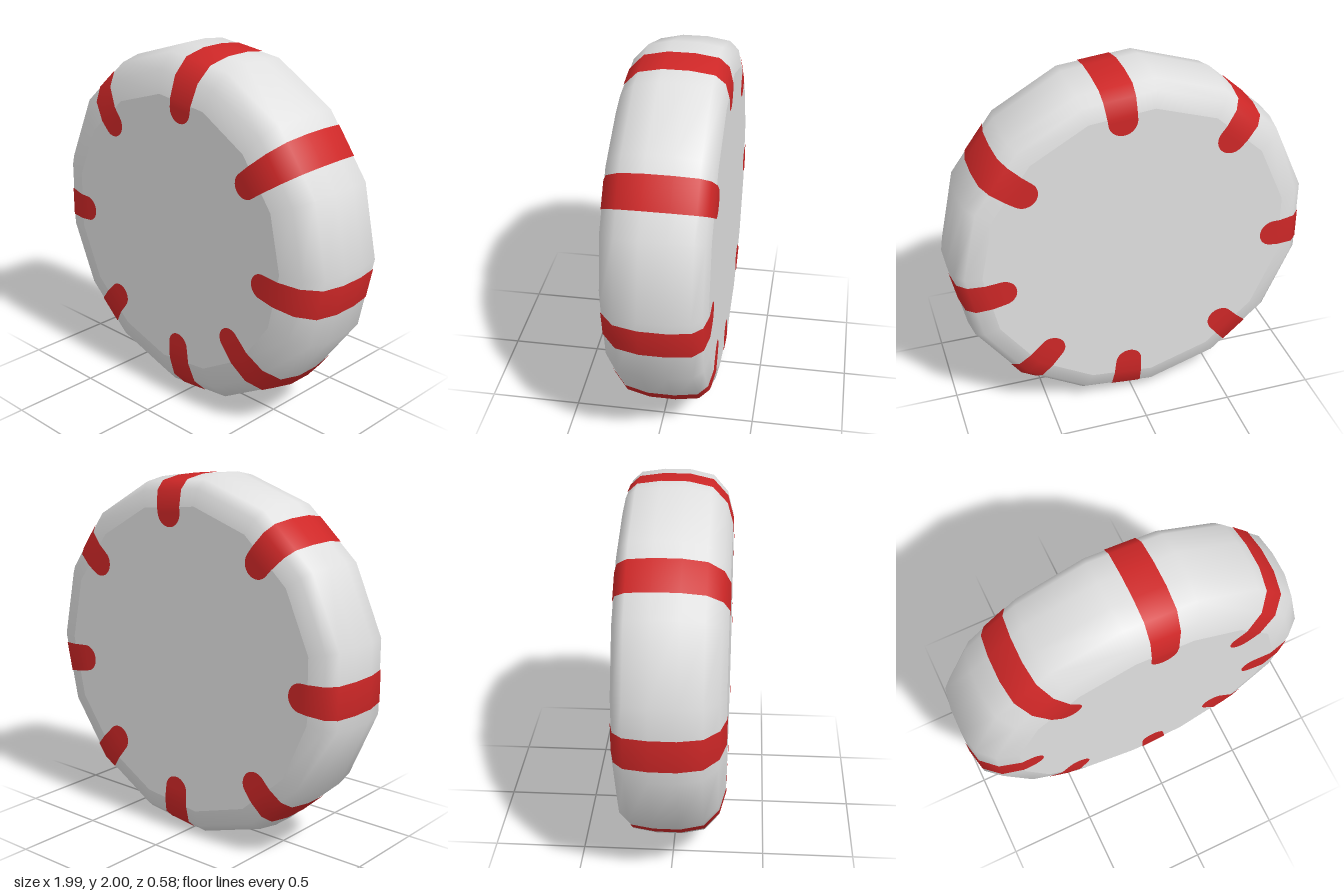
import * as THREE from 'three';

const SIDES = 15;
// Rim cross-section from back to front: [radius, z]
const PROFILE = [
  [0.85, -0.285], [0.94, -0.265], [0.987, -0.215], [1.0055, -0.09],
  [1.0055, 0.05], [0.978, 0.175], [0.893, 0.252], [0.772, 0.285],
];
// Stripes: [angle in degrees, radius of the rounded end on the front]
const STRIPES = [
  [84, 0.715], [37.6, 0.68], [-8.5, 0.665], [-48, 0.65],
  [-86.3, 0.66], [-131, 0.68], [-177, 0.705], [130.5, 0.695],
];
const LIFT = 0.004;
const halfWidth = (r) => 0.03 + 0.06 * r;

// Distance to the faceted side at a given angle
function facetRadius(r, angle) {
  const step = (Math.PI * 2) / SIDES;
  const local = ((angle % step) + step) % step;
  return (r * Math.cos(step / 2)) / Math.cos(local - step / 2);
}

// Outward profile normal [radial, z] from the neighbouring points
function profileNormal(i) {
  const last = PROFILE.length - 1;
  const a = i > 0 ? PROFILE[i - 1] : [PROFILE[0][0] - 0.08, PROFILE[0][1]];
  const b = i < last ? PROFILE[i + 1] : [PROFILE[last][0] - 0.12, PROFILE[last][1]];
  const dr = b[0] - a[0], dz = b[1] - a[1], len = Math.hypot(dr, dz);
  return [dz / len, -dr / len];
}

// Painted band wrapped over the rim, with a rounded end on each flat face
function stripeGeometry(theta, frontEnd) {
  const COLS = 16, TIP = 8;
  const positions = [], normals = [], index = [];
  const c = Math.cos(theta), s = Math.sin(theta);
  let rows = 0;

  const tipRow = (k, center, z) => {
    const a = (k / TIP) * Math.PI / 2, w = halfWidth(center);
    const half = w * Math.sin(a), r = center - w * Math.cos(a);
    for (let j = 0; j <= COLS; j++) {
      const t = half * (2 * j / COLS - 1);
      positions.push(c * r - s * t, s * r + c * t, z + Math.sign(z) * LIFT);
      normals.push(0, 0, Math.sign(z));
    }
    rows++;
  };
  const rimRow = ([r, z], [nr, nz]) => {
    for (let j = 0; j <= COLS; j++) {
      const phi = theta + Math.asin(halfWidth(r) * (2 * j / COLS - 1) / r);
      const R = facetRadius(r, phi) + nr * LIFT;
      positions.push(Math.cos(phi) * R, Math.sin(phi) * R, z + nz * LIFT);
      normals.push(Math.cos(phi) * nr, Math.sin(phi) * nr, nz);
    }
    rows++;
  };

  for (let k = 0; k <= TIP; k++) tipRow(k, frontEnd + 0.09, PROFILE[0][1]);
  PROFILE.forEach((p, i) => rimRow(p, profileNormal(i)));
  for (let k = TIP; k >= 0; k--) tipRow(k, frontEnd, PROFILE[PROFILE.length - 1][1]);

  for (let i = 0; i < rows - 1; i++) {
    for (let j = 0; j < COLS; j++) {
      const a = i * (COLS + 1) + j, b = a + COLS + 1;
      index.push(a, a + 1, b + 1, a, b + 1, b);
    }
  }
  const geo = new THREE.BufferGeometry();
  geo.setAttribute('position', new THREE.Float32BufferAttribute(positions, 3));
  geo.setAttribute('normal', new THREE.Float32BufferAttribute(normals, 3));
  geo.setIndex(index);
  return geo;
}

export function createModel() {
  const white = new THREE.MeshStandardMaterial({ color: 0xe0e0e0 });
  white.name = 'off white';
  const red = new THREE.MeshStandardMaterial({ color: 0xce2727 });
  red.name = 'red';

  const model = new THREE.Group();
  model.name = 'stripedDisc';
  const add = (name, geo, mat) => {
    const mesh = new THREE.Mesh(geo, mat);
    mesh.name = name;
    model.add(mesh);
    return mesh;
  };

  // Rounded rim, turned so its axis runs front to back
  const points = PROFILE.map(([r, z]) => new THREE.Vector2(r, z));
  add('rim', new THREE.LatheGeometry(points, SIDES, Math.PI / 2).rotateX(Math.PI / 2), white);

  // Flat faces
  const [backR, backZ] = PROFILE[0];
  const [frontR, frontZ] = PROFILE[PROFILE.length - 1];
  add('frontFace', new THREE.CircleGeometry(frontR, SIDES), white).position.z = frontZ;
  add('backFace', new THREE.CircleGeometry(backR, SIDES).rotateX(Math.PI), white).position.z = backZ;

  // Stripes around the rim
  STRIPES.forEach(([deg, end], i) => {
    add(`stripe${i + 1}`, stripeGeometry(THREE.MathUtils.degToRad(deg), end), red);
  });

  model.position.set(-0.011, 1, 0);
  const root = new THREE.Group();
  root.name = 'model';
  root.add(model);
  return root;
}
